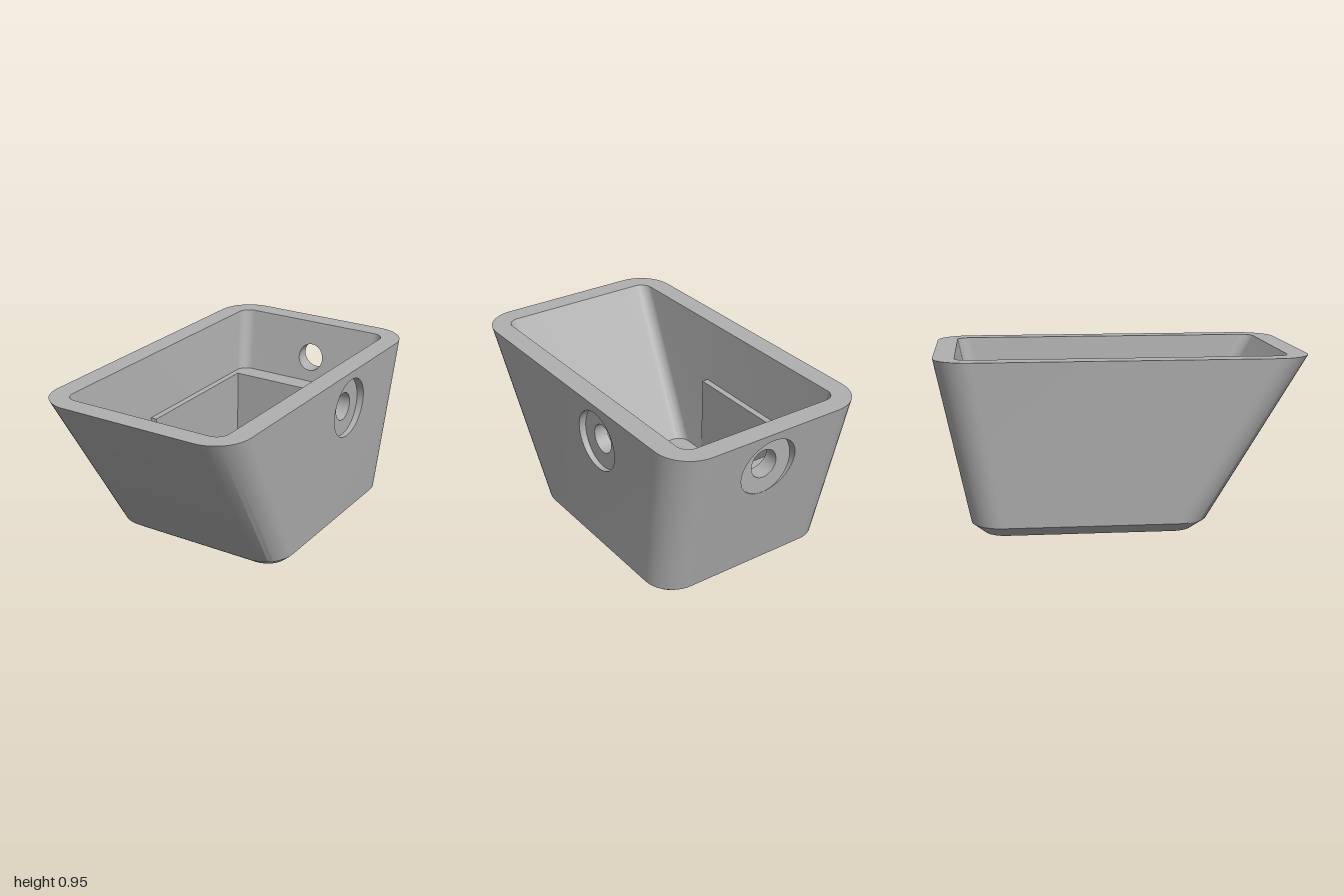
import * as THREE from 'three';
import { toCreasedNormals } from 'three/addons/utils/BufferGeometryUtils.js';

const N = 10;                       // segments per rounded corner
const TOP = 0.95, CHAMFER = 0.055, FLOOR = 0.11, POCKET = 0.09, LEDGE = 0.59;
const WALL = 0.115;                 // wall thickness
const PORT_Y = 0.735, HOLE_X = 0.015, HOLE_Z = -0.25;
const V = (x, y, z) => new THREE.Vector3(x, y, z);

// Tapered wall positions at height y
const sideX = (y, inset) => 0.6 - inset - 0.05 * (TOP - y);
const backZ = (y, inset) => -1 + inset + 0.207 * (TOP - y);

// Rounded rectangle, clockwise seen from above, starting on the +x side
function roundedLoop(x0, x1, z0, z1, r, y) {
  const pts = [];
  for (let c = 0; c < 4; c++) {
    const cx = c === 0 || c === 3 ? x1 - r : x0 + r;
    const cz = c < 2 ? z1 - r : z0 + r;
    for (let i = 0; i <= N; i++) {
      const a = (c + i / N) * Math.PI / 2;
      pts.push(V(cx + r * Math.cos(a), y, cz + r * Math.sin(a)));
    }
  }
  return pts;
}

// Horizontal section of the tapered tub at height y
function section(y, inset, r) {
  const d = TOP - y;
  return roundedLoop(-0.6 + inset + 0.078 * d, sideX(y, inset),
    backZ(y, inset), 1 - inset - 0.598 * d, r, y);
}

// Circle whose points are placed by a rule
function ring(r, place) {
  return Array.from({ length: 48 }, (_, i) => {
    const a = i / 48 * Math.PI * 2;
    return place(r * Math.cos(a), r * Math.sin(a));
  });
}

// Triangles joining two loops, leaving out skipped segments
function loft(out, a, b, flip = false, skip = []) {
  for (let i = 0; i < a.length; i++) {
    if (skip.includes(i)) continue;
    const j = (i + 1) % a.length;
    if (flip) out.push(a[i], b[j], a[j], a[i], b[i], b[j]);
    else out.push(a[i], a[j], b[j], a[i], b[j], b[i]);
  }
}

// Flat face with holes, turned towards dir
function face(out, contour, holes, dir) {
  const flat = p => Math.abs(dir.y) > 0.5 ? new THREE.Vector2(p.x, p.z)
    : Math.abs(dir.x) > 0.5 ? new THREE.Vector2(p.z, p.y) : new THREE.Vector2(p.x, p.y);
  const all = [contour, ...holes].flat();
  const tris = THREE.ShapeUtils.triangulateShape(contour.map(flat), holes.map(h => h.map(flat)));
  for (const [i, j, k] of tris) {
    const [a, b, c] = [all[i], all[j], all[k]];
    const n = b.clone().sub(a).cross(c.clone().sub(a));
    if (n.dot(dir) > 0) out.push(a, b, c); else out.push(a, c, b);
  }
}

export function createModel() {
  const model = new THREE.Group();
  model.name = 'taperedTub';
  const grey = new THREE.MeshStandardMaterial({ color: 0xb0b0b0 });
  grey.name = 'grey';
  const add = (name, build) => {
    const pts = [];
    build(pts);
    const geo = new THREE.BufferGeometry().setFromPoints(pts);
    const mesh = new THREE.Mesh(toCreasedNormals(geo, 0.5), grey);
    mesh.name = name;
    model.add(mesh);
  };

  const up = V(0, 1, 0), down = V(0, -1, 0);
  const right = V(1, 0, 0), left = V(-1, 0, 0), front = V(0, 0, 1), back = V(0, 0, -1);
  const backSeg = 2 * (N + 1) + N, sideSeg = 3 * (N + 1) + N;

  const outerTop = section(TOP, 0, 0.2);
  const outerLow = section(CHAMFER, 0, 0.17);
  const base = roundedLoop(-0.475, 0.5, -0.745, 0.385, 0.12, 0);
  const innerTop = section(TOP, WALL, 0.07);
  const innerLow = section(FLOOR, WALL, 0.07);

  // Port rings follow a tilted wall or lie in a flat plane
  const onSide = (r, xOf) => ring(r, (u, v) => V(xOf(PORT_Y + v), PORT_Y + v, HOLE_Z + u));
  const onBack = (r, zOf) => ring(r, (u, v) => V(HOLE_X + u, PORT_Y + v, zOf(PORT_Y + v)));
  const onFloor = (r, y) => ring(r, (u, v) => V(HOLE_X + u, y, HOLE_Z + v));
  const sidePort = [onSide(0.17, y => sideX(y, 0)), onSide(0.17, () => 0.55),
    onSide(0.08, () => 0.55), onSide(0.08, y => sideX(y, WALL))];
  const backPort = [onBack(0.17, y => backZ(y, 0)), onBack(0.17, () => -0.919),
    onBack(0.08, () => -0.919), onBack(0.08, y => backZ(y, WALL))];
  const drain = [onFloor(0.215, 0), onFloor(0.15, 0.055), onFloor(0.15, POCKET)];
  const wall = (a, b, i) => {
    const j = (i + 1) % a.length;
    return [a[i], a[j], b[j], b[i]];
  };

  // Outside walls, chamfer and underside
  add('outerShell', p => {
    loft(p, outerTop, outerLow, false, [backSeg, sideSeg]);
    face(p, wall(outerTop, outerLow, backSeg), [backPort[0]], back);
    face(p, wall(outerTop, outerLow, sideSeg), [sidePort[0]], right);
    loft(p, outerLow, base);
    face(p, base, [drain[0]], down);
  });

  add('rim', p => face(p, outerTop, [innerTop], up));

  // Inside walls; the side wall is notched where the pocket cuts into it
  const pocketX = 0.455, pocketZ = 0.18, notchY = 0.35;
  const lowX = sideX(FLOOR, WALL);
  add('cavityWalls', p => {
    loft(p, innerTop, innerLow, true, [backSeg, sideSeg]);
    face(p, wall(innerTop, innerLow, backSeg), [backPort[3]], front);
    face(p, [innerTop[sideSeg], innerTop[0], innerLow[0], V(lowX, FLOOR, pocketZ),
      V(pocketX, notchY, pocketZ), V(pocketX, notchY, -0.69), innerLow[sideSeg]],
    [sidePort[3]], left);
  });

  // Front floor and the low step down into the pocket
  add('frontFloor', p => {
    const arc = innerLow.slice(0, 2 * (N + 1));
    face(p, [...arc, V(arc[arc.length - 1].x, FLOOR, pocketZ), V(lowX, FLOOR, pocketZ)], [], up);
    face(p, [V(-0.425, POCKET, pocketZ), V(pocketX, POCKET, pocketZ), V(pocketX, notchY, pocketZ),
      V(lowX, FLOOR, pocketZ), V(-0.425, FLOOR, pocketZ)], [], back);
  });

  add('pocketFloor', p => face(p, [V(-0.42, POCKET, -0.69), V(pocketX, POCKET, -0.69),
    V(pocketX, POCKET, pocketZ), V(-0.42, POCKET, pocketZ)], [drain[2]], up));

  // U-shaped ledge around the pocket
  add('pocketLedge', p => {
    const arc = section(LEDGE, WALL, 0.07).slice(2 * (N + 1));
    const top = [V(arc[0].x, LEDGE, pocketZ), ...arc, V(arc[arc.length - 1].x, LEDGE, pocketZ),
      V(pocketX, LEDGE, pocketZ), V(pocketX, LEDGE, -0.69),
      V(-0.42, LEDGE, -0.69), V(-0.42, LEDGE, pocketZ)];
    face(p, top, [], up);
    loft(p, top, top.map(q => V(q.x, POCKET, q.z)));
  });

  // Counterbored ports and the countersunk drain
  for (const [name, rings, flip] of [['sidePort', sidePort, true], ['backPort', backPort, true],
    ['drainHole', drain, false]]) {
    add(name, p => {
      for (let i = 0; i + 1 < rings.length; i++) loft(p, rings[i], rings[i + 1], flip);
    });
  }
  return model;
}
